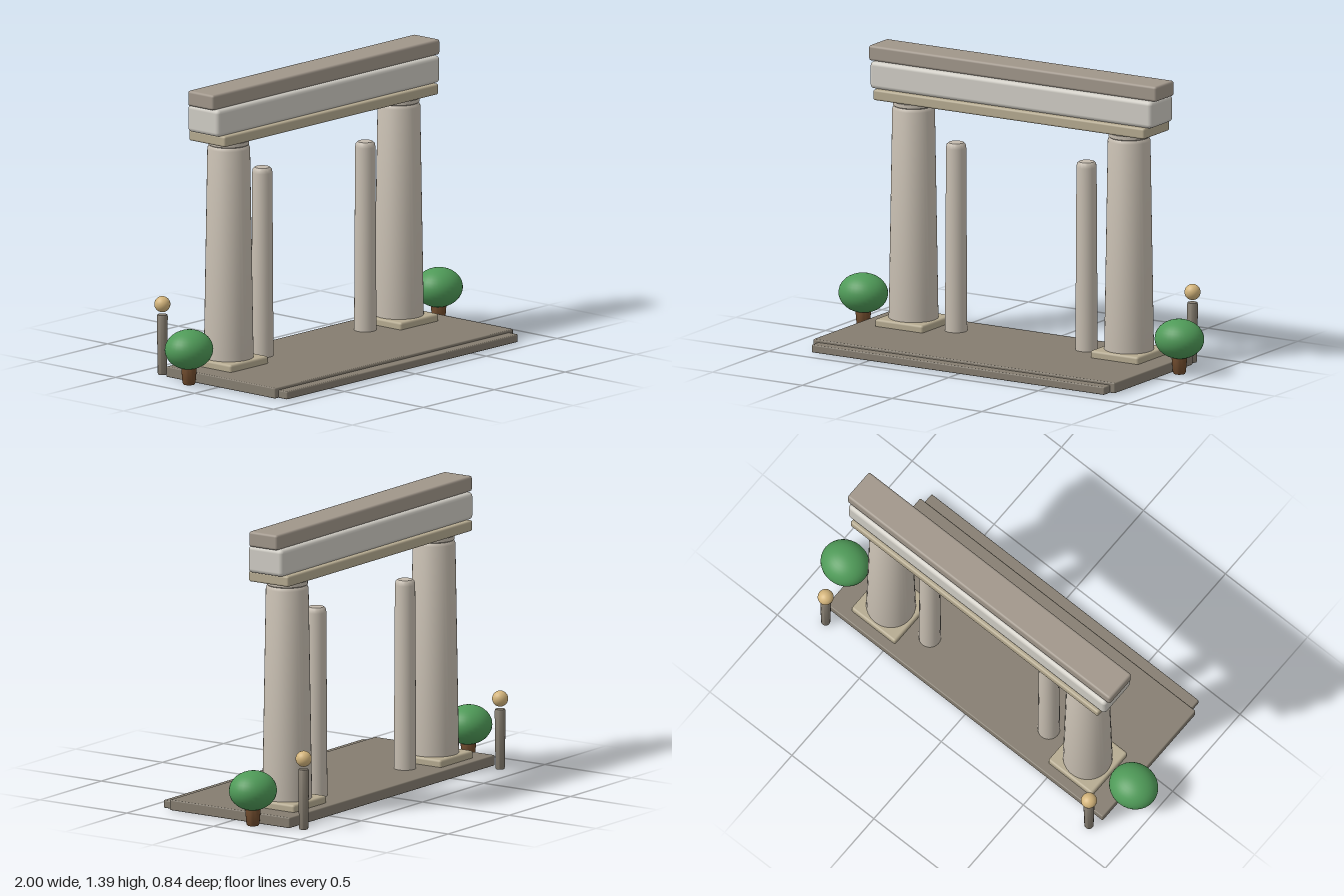
import * as THREE from 'three';
import { RoundedBoxGeometry } from 'three/addons/geometries/RoundedBoxGeometry.js';
import { toCreasedNormals } from 'three/addons/utils/BufferGeometryUtils.js';

const mat = (color) => new THREE.MeshStandardMaterial({ color });
const paving = mat(0x857d70);
const stone = mat(0xc4bbae);
const paleStone = mat(0xcfccc4);
const trim = mat(0xb5aa90);
const cornice = mat(0xa0968a);
const leaf = mat(0x4f9a58);
const bark = mat(0x6e4a2c);
const glow = mat(0xd4b57c);

const AXIS_Z = -0.143; // line of the columns and beams

function add(parent, name, geometry, material, x = 0, y = 0, z = 0) {
  const mesh = new THREE.Mesh(geometry, material);
  mesh.name = name;
  mesh.position.set(x, y, z);
  parent.add(mesh);
  return mesh;
}

// Softly bevelled block given by its width, bottom and top, back and front
function block(parent, name, material, w, y0, y1, z0, z1, radius, x = 0) {
  const geometry = new RoundedBoxGeometry(w, y1 - y0, z1 - z0, 2, radius);
  return add(parent, name, geometry, material, x, (y0 + y1) / 2, (z0 + z1) / 2);
}

// Turned solid from [radius, height] pairs
function turned(profile, sides = 32) {
  const points = profile.map(([r, y]) => new THREE.Vector2(r, y));
  return toCreasedNormals(new THREE.LatheGeometry(points, sides), 0.7);
}

export function createModel() {
  const model = new THREE.Group();
  model.name = 'gateway';

  // Paved platform with a lower front step
  block(model, 'platform', paving, 1.68, 0.004, 0.055, -0.325, 0.366, 0.006);
  block(model, 'frontStep', paving, 1.63, 0.004, 0.042, 0.33, 0.42, 0.006);

  // Three stacked beams
  block(model, 'lowerBeam', trim, 1.51, 1.143, 1.195, AXIS_Z - 0.115, AXIS_Z + 0.115, 0.01);
  block(model, 'middleBeam', paleStone, 1.57, 1.193, 1.324, AXIS_Z - 0.1, AXIS_Z + 0.1, 0.02);
  block(model, 'topBeam', cornice, 1.602, 1.323, 1.397, AXIS_Z - 0.082, AXIS_Z + 0.082, 0.012);

  const mainShaft = turned([
    [0, 0.06], [0.118, 0.06], [0.117, 0.12], [0.101, 1.1], [0.096, 1.112],
    [0.093, 1.116], [0.097, 1.12], [0.097, 1.138], [0.09, 1.146], [0, 1.146],
  ], 40);
  const slimShaft = turned([
    [0, 0.03], [0.053, 0.03], [0.048, 0.94], [0.045, 0.957], [0.036, 0.966], [0, 0.966],
  ], 28);
  const trunk = turned([
    [0, 0], [0.027, 0], [0.031, 0.008], [0.037, 0.08], [0.034, 0.09], [0, 0.09],
  ], 20);
  const post = turned([
    [0, 0], [0.02, 0], [0.022, 0.006], [0.026, 0.28], [0.023, 0.289], [0, 0.289],
  ], 20);
  const ball = new THREE.SphereGeometry(1, 32, 20);

  for (const [side, s] of [['left', 1], ['right', -1]]) {
    const half = new THREE.Group();
    half.name = side + 'Side';
    model.add(half);

    // Main column on its square base, with a slender column inside it
    block(half, 'columnBase', trim, 0.268, 0.045, 0.09, AXIS_Z - 0.134, AXIS_Z + 0.134, 0.012, s * 0.6);
    add(half, 'mainColumn', mainShaft, stone, s * 0.6, 0, AXIS_Z);
    add(half, 'slenderColumn', slimShaft, stone, s * 0.363, 0, AXIS_Z);

    // Round clipped tree beside the platform
    add(half, 'treeTrunk', trunk, bark, s * 0.88, 0.004, AXIS_Z);
    add(half, 'treeCrown', ball, leaf, s * 0.88, 0.172, AXIS_Z).scale.set(0.12, 0.094, 0.11);

    // Lamp post behind the platform, its globe floating just above
    add(half, 'lampPost', post, paving, s * 0.803, 0.002, -0.381);
    add(half, 'lampGlobe', ball, glow, s * 0.803, 0.341, -0.381).scale.setScalar(0.038);
  }
  return model;
}
